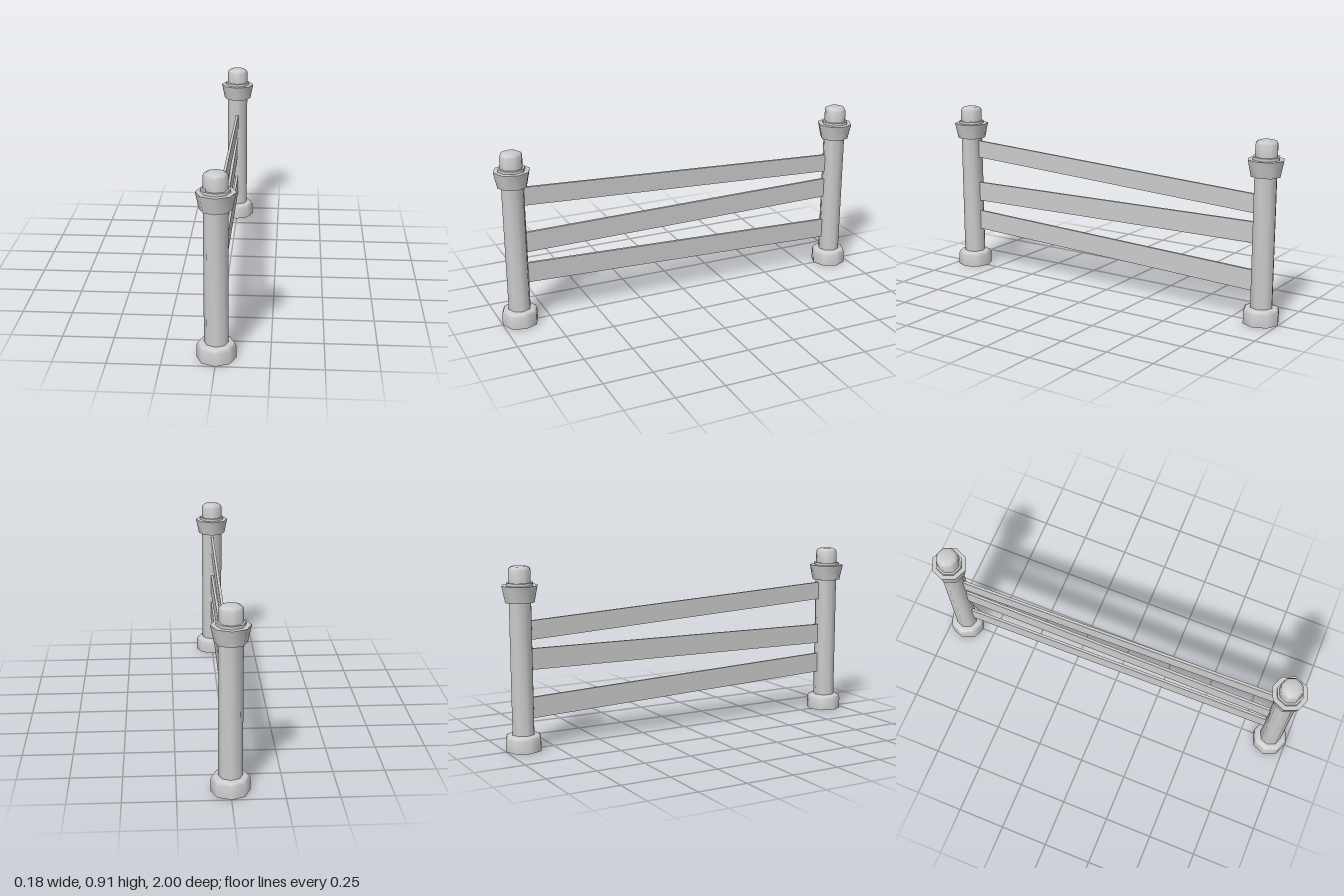
import * as THREE from 'three';
import { toCreasedNormals } from 'three/addons/utils/BufferGeometryUtils.js';

const material = new THREE.MeshStandardMaterial({ color: 0xcccccc });
const POST_Z = 0.908;

// Eight-sided turned piece, smooth around, sharp at strong profile breaks
function turned(name, profile) {
  const points = profile.map(([r, y]) => new THREE.Vector2(r, y));
  const mesh = new THREE.Mesh(toCreasedNormals(new THREE.LatheGeometry(points, 8), 0.9), material);
  mesh.name = name;
  return mesh;
}

function createPost(name) {
  const post = new THREE.Group();
  post.name = name;
  post.add(
    turned('base', [[0, 0], [0.092, 0], [0.092, 0.062], [0.085, 0.076], [0.068, 0.081], [0, 0.081]]),
    turned('shaft', [[0.057, 0.075], [0.057, 0.74]]),
    turned('collar', [[0, 0.733], [0.075, 0.733], [0.092, 0.814], [0.068, 0.814], [0.068, 0.828], [0, 0.828]]),
    turned('cap', [[0.057, 0.825], [0.057, 0.888], [0.051, 0.9], [0.038, 0.906], [0, 0.906]])
  );
  return post;
}

// Thin board whose ends stay vertical while it slopes between the posts
function createRail(name, frontY, backY, height) {
  const halfLength = 0.858;
  const geometry = new THREE.BoxGeometry(0.014, height, halfLength * 2);
  const pos = geometry.attributes.position;
  for (let i = 0; i < pos.count; i++) {
    const t = (pos.getZ(i) + halfLength) / (halfLength * 2);
    pos.setY(i, pos.getY(i) + THREE.MathUtils.lerp(backY, frontY, t));
  }
  geometry.computeVertexNormals();
  const rail = new THREE.Mesh(geometry, material);
  rail.name = name;
  return rail;
}

export function createModel() {
  const fence = new THREE.Group();
  fence.name = 'fence';

  // Posts at both ends
  for (const [name, side] of [['frontPost', 1], ['backPost', -1]]) {
    const post = createPost(name);
    post.position.z = side * POST_Z;
    fence.add(post);
  }

  // Three uneven rails: centre height at the front end, at the back end, board height
  fence.add(
    createRail('topRail', 0.672, 0.592, 0.094),
    createRail('middleRail', 0.429, 0.449, 0.105),
    createRail('bottomRail', 0.265, 0.207, 0.105)
  );
  return fence;
}
